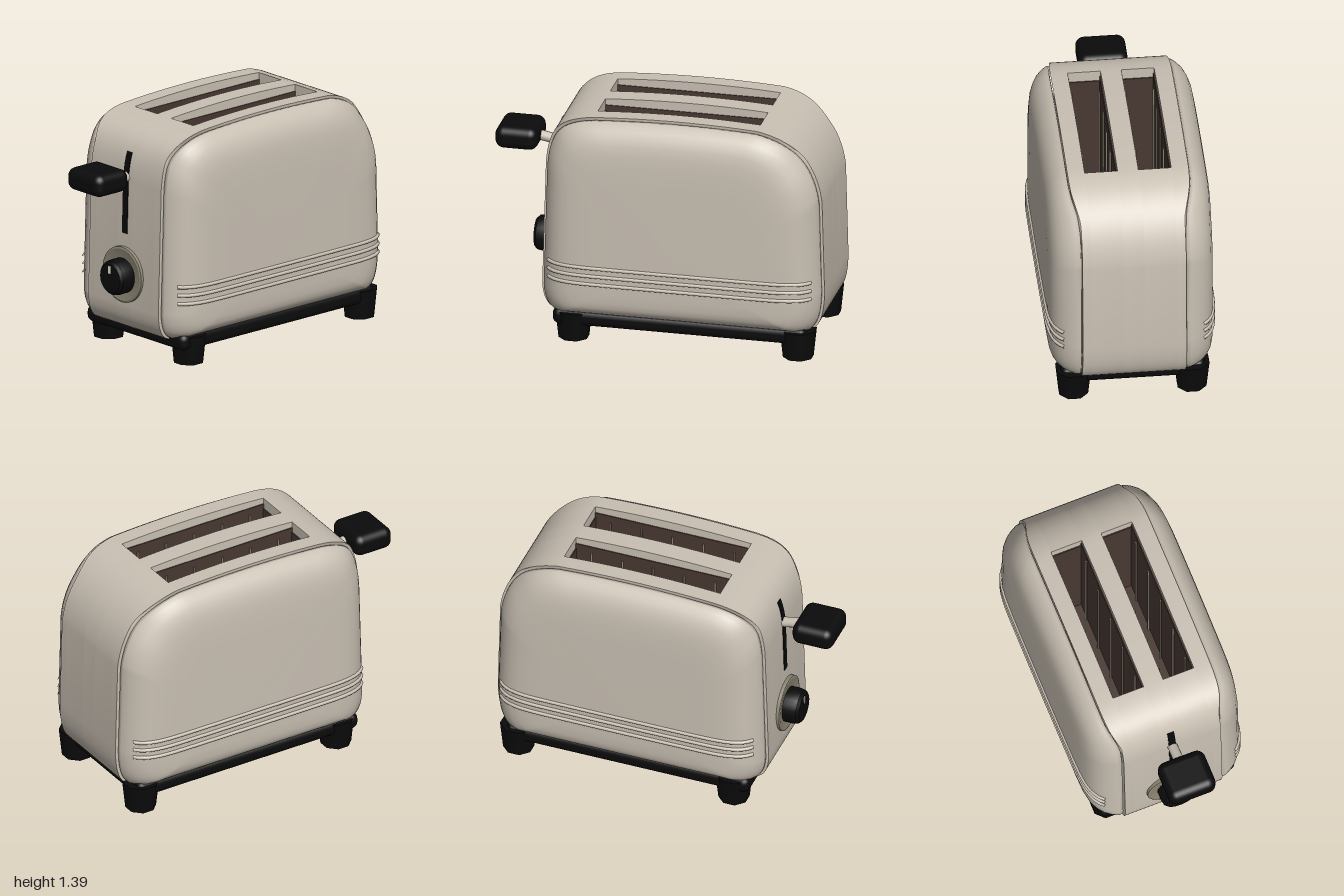
import * as THREE from 'three';
import { toCreasedNormals } from 'three/addons/utils/BufferGeometryUtils.js';
import { RoundedBoxGeometry } from 'three/addons/geometries/RoundedBoxGeometry.js';

const mat = (name, color) => {
  const m = new THREE.MeshStandardMaterial({ color });
  m.name = name;
  return m;
};

const SLOT = { front: 0.36, back: -0.6, floor: 0.32, inner: 0.06, outer: 0.25 };

// Side outline of the body, drawn as (z, y); optionally notched for a bread slot
function outline(notched) {
  const s = new THREE.Shape();
  s.moveTo(0.58, 0.145);
  s.quadraticCurveTo(0.67, 0.15, 0.677, 0.3);
  s.lineTo(0.655, 1.05);
  s.bezierCurveTo(0.64, 1.25, 0.58, 1.35, SLOT.front, 1.371);
  if (notched) {
    s.lineTo(SLOT.front, SLOT.floor);
    s.lineTo(SLOT.back, SLOT.floor);
    s.lineTo(SLOT.back, 1.375);
  } else {
    s.quadraticCurveTo(-0.12, 1.405, SLOT.back, 1.375);
  }
  s.bezierCurveTo(-0.82, 1.34, -0.95, 1.17, -0.975, 0.95);
  s.lineTo(-0.99, 0.4);
  s.quadraticCurveTo(-0.99, 0.15, -0.88, 0.145);
  return s;
}
const profile = outline(false).getPoints(16);

// z of the front face at height y
function frontZ(y) {
  for (let i = 1; i < profile.length; i++) {
    const a = profile[i - 1], b = profile[i];
    if (a.y <= y && b.y >= y) return a.x + (b.x - a.x) * (y - a.y) / (b.y - a.y);
  }
  return 0.6;
}

// The seam drifts outwards over the top
const seamX = (y) => 0.3 + 0.05 * THREE.MathUtils.smoothstep(y, 1.2, 1.38);

function editVertices(geo, rule) {
  const p = geo.attributes.position, v = new THREE.Vector3();
  for (let i = 0; i < p.count; i++) {
    rule(v.fromBufferAttribute(p, i));
    p.setXYZ(i, v.x, v.y, v.z);
  }
  return geo;
}

// One slice of the centre shell between two x positions
function slice(x0, x1, notched) {
  const geo = new THREE.ExtrudeGeometry(outline(notched), { depth: x1 - x0, bevelEnabled: false, curveSegments: 16 });
  geo.rotateY(-Math.PI / 2).translate(x1, 0, 0);
  editVertices(geo, (v) => {
    if (Math.abs(v.x) > 0.29) v.x = Math.sign(v.x) * seamX(v.y);
  });
  return toCreasedNormals(geo, 0.6);
}

// Bulging side panel: the outline shrinks as it moves away from the seam
function sidePanel(side) {
  const rows = [[0, 0.035], [0.04, 0.014], [0.17, 0.016], [0.36, 0.032], [0.55, 0.055], [0.72, 0.088], [0.85, 0.13],
    [0.93, 0.185], [0.97, 0.26], [0.99, 0.38], [1, 0.83]];
  const pos = [], idx = [], n = profile.length, cz = -0.16, cy = 0.55;
  rows.forEach(([t, inset], j) => {
    const k = 1 - inset / 0.83;
    profile.forEach((p, i) => {
      const s = seamX(p.y);
      pos.push(side * (s + (0.482 - s) * t), cy + (p.y - cy) * k, cz + (p.x - cz) * k);
      if (j === rows.length - 1) return;
      const a = j * n + i, b = j * n + (i + 1) % n, c = a + n, d = b + n;
      if (side > 0) idx.push(a, c, b, b, c, d);
      else idx.push(a, b, c, b, d, c);
    });
  });
  const geo = new THREE.BufferGeometry();
  geo.setAttribute('position', new THREE.Float32BufferAttribute(pos, 3));
  geo.setIndex(idx);
  geo.computeVertexNormals();
  return geo;
}

export function createModel() {
  const model = new THREE.Group();
  model.name = 'toaster';
  const cream = mat('cream enamel', 0xc9c0b3);
  const black = mat('black plastic', 0x0b0b0b);
  const brown = mat('dark brown lining', 0x483832);
  const olive = mat('dull metal', 0x8e8775);
  const white = mat('white mark', 0xe8e6e0);

  const add = (name, geo, material, x = 0, y = 0, z = 0, parent = model) => {
    const m = new THREE.Mesh(geo, material);
    m.name = name;
    m.position.set(x, y, z);
    parent.add(m);
    return m;
  };

  // Centre shell with two open slots
  const shell = new THREE.Group();
  shell.name = 'centreShell';
  model.add(shell);
  const { inner, outer } = SLOT;
  [[-0.3, -outer, false], [-outer, -inner, true], [-inner, inner, false], [inner, outer, true], [outer, 0.3, false]]
    .forEach(([a, b, notch]) => add('shellSlice', slice(a, b, notch), cream, 0, 0, 0, shell));

  for (const side of [1, -1]) {
    add('sidePanel', sidePanel(side), cream);

    // Raised trim lines along the lower side
    for (const y of [0.385, 0.435, 0.485]) {
      const half = [[0.4, 0.775], [0.432, 0.745], [0.455, 0.7], [0.47, 0.645], [0.478, 0.57], [0.481, 0.4]];
      const pts = [...half.map(([x, z]) => [x, z]), ...half.map(([x, z]) => [x, -z]).reverse()]
        .map(([x, z]) => new THREE.Vector3(side * x, y, -0.157 + z));
      add('trimLine', new THREE.TubeGeometry(new THREE.CatmullRomCurve3(pts), 48, 0.011, 8), cream);
    }

    // Slot lining and guide wires
    const mid = (inner + outer) / 2, width = outer - inner;
    const length = SLOT.front - SLOT.back, zc = (SLOT.front + SLOT.back) / 2;
    const slot = new THREE.Group();
    slot.name = 'slotInterior';
    slot.position.set(side * mid, 0, zc);
    model.add(slot);
    add('slotFloor', new THREE.BoxGeometry(width, 0.008, length), brown, 0, SLOT.floor + 0.004, 0, slot);
    for (const s of [1, -1]) {
      add('slotWall', new THREE.BoxGeometry(0.006, 1.01, length), brown, s * (width / 2 - 0.003), 0.83, 0, slot);
      add('slotEnd', new THREE.BoxGeometry(width, 0.98, 0.006), brown, 0, 0.815, s * (length / 2 - 0.003), slot);
      for (let i = 0; i < 5; i++) {
        add('guideWire', new THREE.CylinderGeometry(0.006, 0.006, 0.97, 6), olive,
          s * (width / 2 - 0.014), 0.81, (i - 2) * 0.19, slot);
      }
    }

    // Feet
    for (const z of [0.48, -0.845]) {
      const foot = new THREE.CylinderGeometry(0.108, 0.09, 0.17, 8, 1);
      foot.rotateY(Math.PI / 8);
      add('foot', toCreasedNormals(foot, 0.9), black, side * 0.342, 0.085, z);
    }
  }

  // Base tray
  add('baseTray', new RoundedBoxGeometry(0.84, 0.1, 1.5, 3, 0.04), black, 0, 0.14, -0.155);

  // Lever track following the front face
  const track = editVertices(new THREE.BoxGeometry(0.042, 0.48, 0.008, 1, 16, 1), (v) => {
    v.y += 0.97;
    v.z += frontZ(v.y) + 0.001;
  });
  add('leverTrack', track, black);

  // Lever arm and knob
  const arm = new THREE.LineCurve3(new THREE.Vector3(0, 1.06, 0.62), new THREE.Vector3(0, 1.095, 0.8));
  add('leverArm', new THREE.TubeGeometry(arm, 1, 0.03, 12), cream);
  const knob = new RoundedBoxGeometry(0.288, 0.134, 0.25, 5, 0.05);
  add('leverKnob', knob, black, 0, 1.097, 0.875);

  // Browning dial: dished ring, knob and pointer mark
  const ring = new THREE.LatheGeometry([[0.166, -0.02], [0.166, 0.012], [0.155, 0.016], [0.1, 0.006], [0, 0.006]]
    .map(([r, h]) => new THREE.Vector2(r, h)), 32);
  add('dialRing', toCreasedNormals(ring.rotateX(Math.PI / 2), 0.5), olive, 0, 0.485, 0.676);
  const dial = new THREE.LatheGeometry([[0.104, 0], [0.106, 0.05], [0.1, 0.085], [0.085, 0.1], [0, 0.104]]
    .map(([r, h]) => new THREE.Vector2(r, h)), 20);
  add('dialKnob', toCreasedNormals(dial.rotateX(Math.PI / 2), 0.6), black, 0, 0.48, 0.68);
  add('dialMark', new THREE.BoxGeometry(0.018, 0.045, 0.006), white, 0, 0.533, 0.783);

  return model;
}
